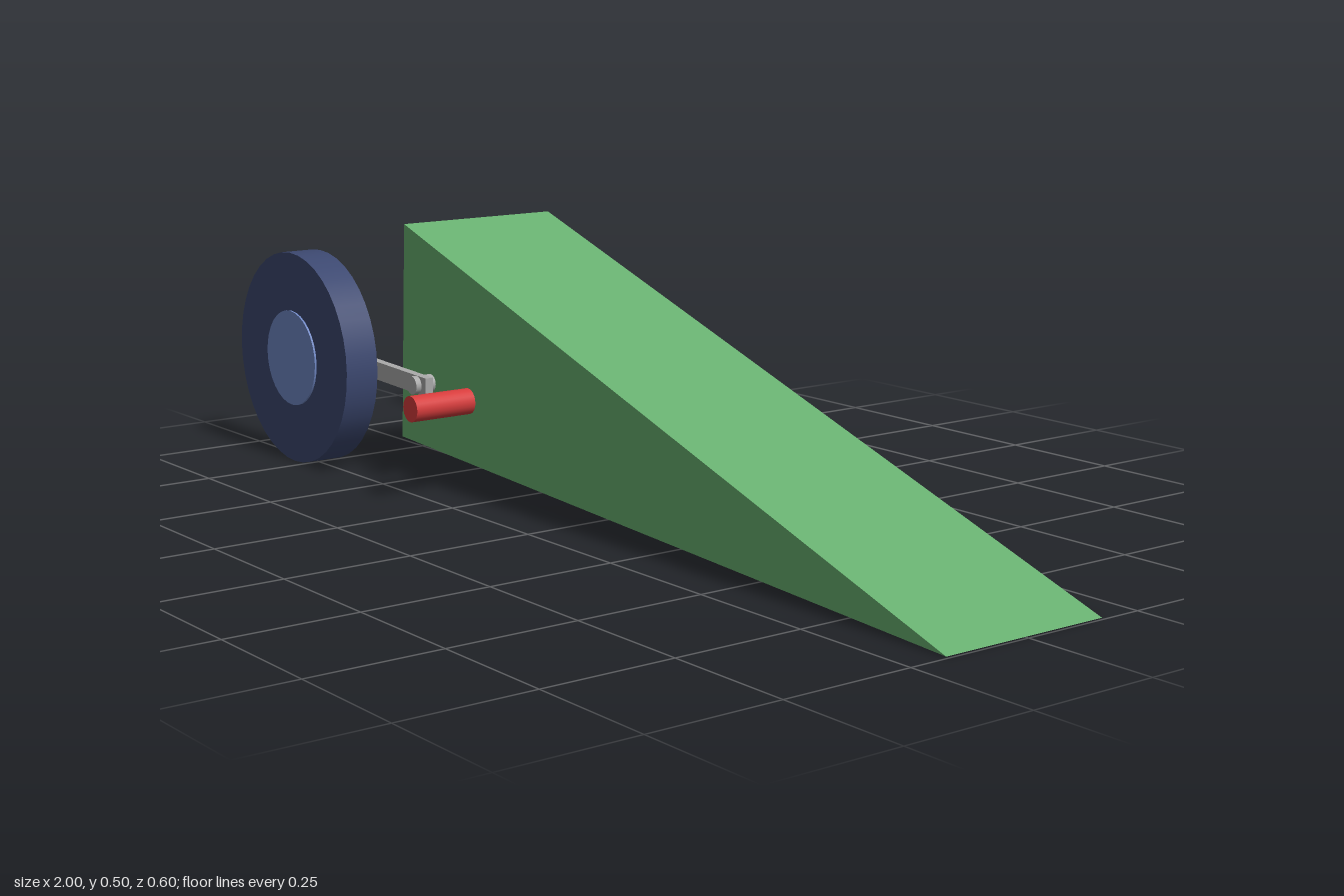
import * as THREE from 'three';

const makeMaterial = (name, color) => {
  const m = new THREE.MeshStandardMaterial({ color });
  m.name = name;
  return m;
};

export function createModel() {
  const model = new THREE.Group();
  model.name = 'wedgeVehicle';

  const green = makeMaterial('bodyGreen', 0x68b070);
  const red = makeMaterial('rodRed', 0xd63c3c);
  const navy = makeMaterial('tyreNavy', 0x3c4870);
  const blue = makeMaterial('hubBlue', 0x7088c4);
  const grey = makeMaterial('armGrey', 0xaaaaaa);

  const add = (parent, name, geometry, material) => {
    const mesh = new THREE.Mesh(geometry, material);
    mesh.name = name;
    parent.add(mesh);
    return mesh;
  };

  // Cylinder along z, spanning z0 to z1
  const disc = (parent, name, material, x, y, radius, z0, z1, sides) => {
    const geometry = new THREE.CylinderGeometry(radius, radius, z1 - z0, sides);
    geometry.rotateX(Math.PI / 2);
    add(parent, name, geometry, material).position.set(x, y, (z0 + z1) / 2);
  };

  // Wedge body: triangular side profile extruded across the width
  const profile = new THREE.Shape();
  profile.moveTo(-0.55, 0.078);
  profile.lineTo(0.995, 0.002);
  profile.lineTo(-0.53, 0.506);
  profile.closePath();
  const wedge = new THREE.ExtrudeGeometry(profile, { depth: 0.344, bevelEnabled: false });
  wedge.translate(0, 0, -0.172);
  add(model, 'wedgeBody', wedge, green);

  // Cross rod through the body
  disc(model, 'crossRod', red, -0.31, 0.188, 0.025, -0.302, 0.302, 24);

  // Wheel, hub and trailing arm on each side
  const wheelX = -0.785, wheelY = 0.216;
  for (const side of [1, -1]) {
    const unit = new THREE.Group();
    unit.name = side > 0 ? 'frontWheelUnit' : 'backWheelUnit';
    if (side < 0) unit.rotation.x = 0;
    const span = (a, b) => (side > 0 ? [a, b] : [-b, -a]);

    disc(unit, 'tyre', navy, wheelX, wheelY, 0.215, ...span(0.215, 0.285), 40);
    disc(unit, 'hub', blue, wheelX, wheelY, 0.097, ...span(0.211, 0.289), 32);
    disc(unit, 'axleBoss', navy, wheelX, wheelY, 0.05, ...span(0.202, 0.22), 24);
    disc(unit, 'pivotPin', grey, -0.442, 0.203, 0.018, ...span(0.165, 0.216), 16);

    const arm = add(unit, 'trailingArm', new THREE.BoxGeometry(0.41, 0.036, 0.017), grey);
    arm.position.set(-0.615, 0.21, side * 0.196);
    arm.rotation.z = -0.038;
    model.add(unit);
  }

  return model;
}
